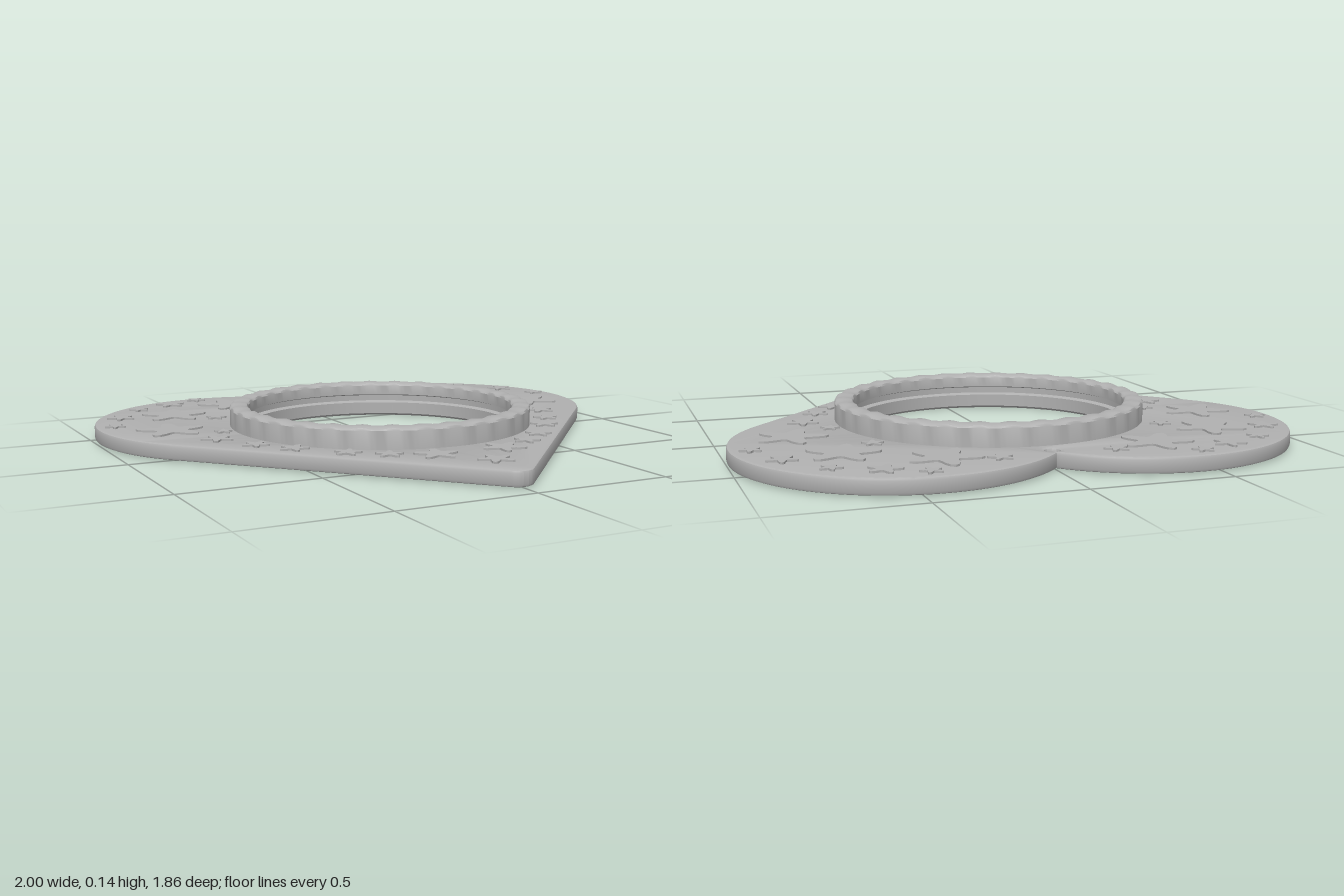
import * as THREE from 'three';
import { toCreasedNormals } from 'three/addons/utils/BufferGeometryUtils.js';

const RING_Z = -0.066;

// Extrudes a plan outline (shape y = -z) upward from height y0 to y1.
function slab(shape, y0, y1, bevel) {
  const geo = new THREE.ExtrudeGeometry(shape, {
    depth: y1 - y0 - 2 * bevel,
    bevelEnabled: bevel > 0,
    bevelThickness: bevel,
    bevelSize: bevel,
    bevelOffset: -bevel,
    bevelSegments: 2,
    curveSegments: 64,
  });
  geo.rotateX(-Math.PI / 2);
  geo.translate(0, y0 + bevel, 0);
  return toCreasedNormals(geo, 0.5);
}

function circleHole(x, y, r) {
  return new THREE.Path().absarc(x, y, r, 0, Math.PI * 2, false);
}

// Two round lobes, straight flanks and a rounded tip.
function heartShape() {
  const notch = Math.acos(0.43 / 0.57), flank = 0.736;
  const s = new THREE.Shape();
  s.absarc(0.43, 0.36, 0.57, Math.PI - notch, -flank, true);
  s.absarc(0, -0.875, 0.06, -flank, -(Math.PI - flank), true);
  s.absarc(-0.43, 0.36, 0.57, Math.PI + flank, notch, true);
  return s;
}

// Five soft-tipped arms.
function starShape(r) {
  const pts = [];
  for (let i = 0; i < 50; i++) {
    const t = (i / 50) * Math.PI * 2;
    const d = r * (0.69 + 0.27 * Math.cos(5 * t) + 0.04 * Math.cos(10 * t));
    pts.push(new THREE.Vector2(d * Math.sin(t), d * Math.cos(t)));
  }
  return new THREE.Shape(pts);
}

export function createModel() {
  const grey = new THREE.MeshStandardMaterial({ color: 0xb0b0b0 });
  grey.name = 'grey';
  const model = new THREE.Group();
  model.name = 'heartFrame';
  const add = (name, geo, parent = model) => {
    const mesh = new THREE.Mesh(geo, grey);
    mesh.name = name;
    parent.add(mesh);
    return mesh;
  };

  // Heart plate with ring opening and hanging hole
  const heart = heartShape();
  heart.holes.push(circleHole(0, -RING_Z, 0.53), circleHole(0, 0.695, 0.025));
  add('heartPlate', slab(heart, 0.004, 0.06, 0.01));

  // Raised ring with an inner groove: [radius, height]
  const profile = [
    [0.555, 0], [0.555, 0.03], [0.567, 0.03], [0.567, 0.125], [0.563, 0.134], [0.554, 0.138],
    [0.532, 0.138], [0.51, 0.138], [0.502, 0.134], [0.498, 0.125],
    [0.498, 0.088], [0.518, 0.082], [0.518, 0.06], [0.498, 0.054],
    [0.498, 0.008], [0.506, 0], [0.555, 0],
  ].map(([r, y]) => new THREE.Vector2(r, y));
  const ringGeo = new THREE.LatheGeometry(profile, 192);
  // Gentle scallops along the two top edges
  const pos = ringGeo.attributes.position;
  for (let i = 0; i < pos.count; i++) {
    const y = pos.getY(i);
    const r = Math.hypot(pos.getX(i), pos.getZ(i));
    if (y > 0.13 && Math.abs(r - 0.532) > 0.01) {
      const phi = Math.atan2(pos.getX(i), pos.getZ(i));
      pos.setY(i, y - 0.003 + 0.003 * Math.cos(32 * phi));
    }
  }
  add('ring', toCreasedNormals(ringGeo, 0.6)).position.z = RING_Z;

  // Raised stars on both faces, mirrored left and right: [x, z, radius]
  const stars = new THREE.Group();
  stars.name = 'stars';
  model.add(stars);
  const layout = [
    [0.66, -0.54, 0.13], [0.77, -0.23, 0.13], [0.37, -0.7, 0.13],
    [0.68, 0.01, 0.06], [0.6, 0.17, 0.05], [0.51, 0.29, 0.055],
    [0.38, 0.44, 0.05], [0.27, 0.53, 0.05], [0.13, 0.6, 0.08],
    [0.59, -0.8, 0.06], [0.74, -0.73, 0.04], [0.86, -0.57, 0.055],
    [0.93, -0.4, 0.04], [0.46, -0.865, 0.04], [0.2, -0.76, 0.045],
    [0.53, -0.42, 0.04], [0.61, -0.12, 0.035],
  ];
  layout.forEach(([x, z, r], i) => {
    const geo = slab(starShape(r), 0.001, 0.067, 0);
    for (const side of [1, -1]) {
      const star = add('star', geo, stars);
      star.position.set(side * x, 0, z);
      star.rotation.y = side * (0.3 + i * 1.1);
    }
  });
  add('tipStar', slab(starShape(0.065), 0.001, 0.067, 0), stars).position.z = 0.76;

  return model;
}
